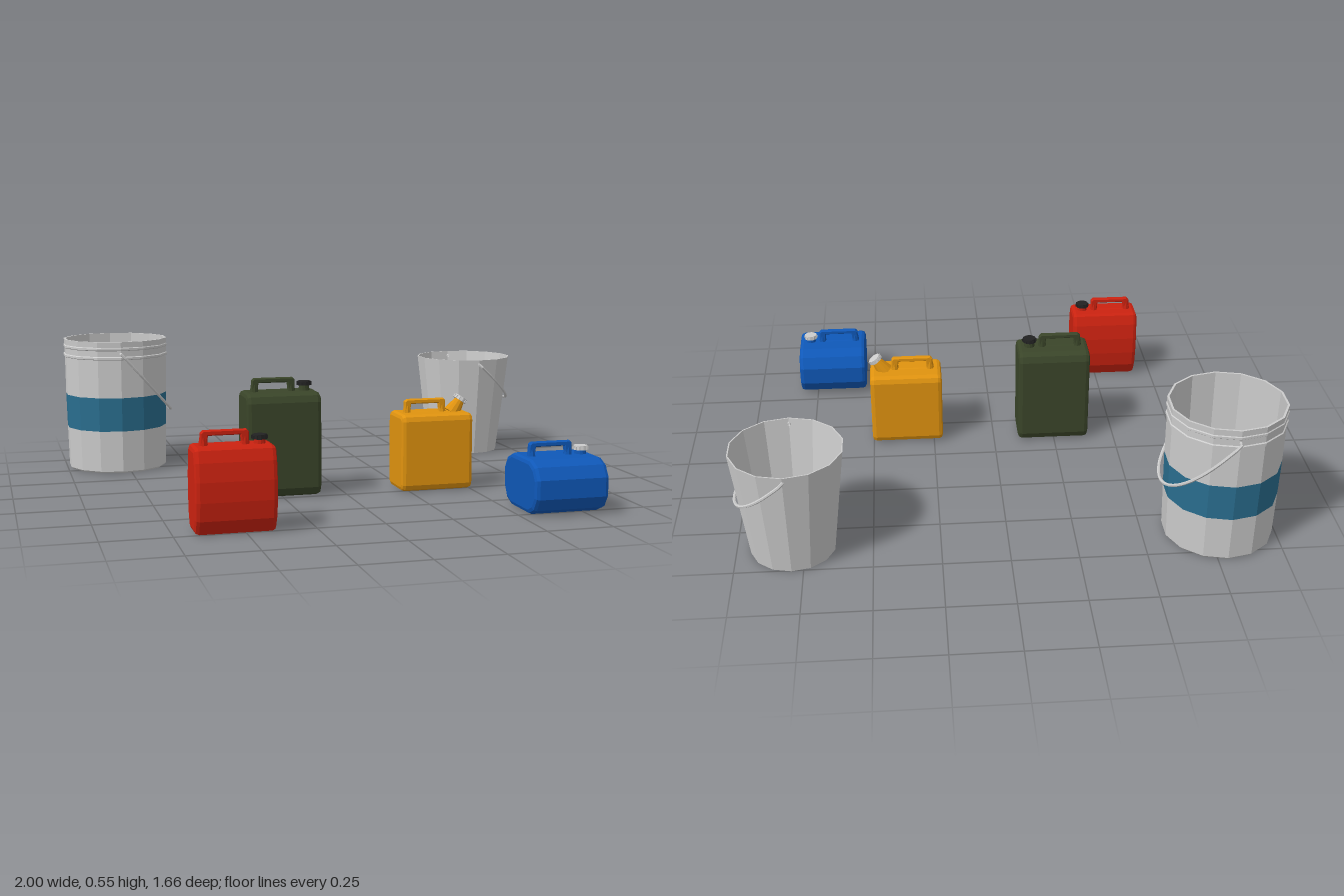
import * as THREE from 'three';

const SIDES = 14;
const mat = (color) => new THREE.MeshStandardMaterial({ color, flatShading: true, side: THREE.DoubleSide });
const GREY = mat(0xcccccc), BLACK = mat(0x222222), BAND = mat(0x2a6e8f);

function add(parent, name, geometry, material, x = 0, y = 0, z = 0) {
  const mesh = new THREE.Mesh(geometry, material);
  mesh.name = name;
  mesh.position.set(x, y, z);
  parent.add(mesh);
  return mesh;
}

const lathe = (pts) => new THREE.LatheGeometry(pts.map(([r, y]) => new THREE.Vector2(r, y)), SIDES);

// Wire bail: half ellipse leaning towards +x, its ends bent in to the wall
function bail(r, pivotY, reach, drop) {
  const pts = [new THREE.Vector3(0, pivotY, r - 0.022)];
  for (let i = 0; i <= 16; i++) {
    const a = (i / 16) * Math.PI;
    pts.push(new THREE.Vector3(reach * Math.sin(a), pivotY - drop * Math.sin(a), r * Math.cos(a)));
  }
  pts.push(new THREE.Vector3(0, pivotY, -r + 0.022));
  return new THREE.TubeGeometry(new THREE.CatmullRomCurve3(pts), 40, 0.006, 6);
}

function largeBucket() {
  const g = new THREE.Group();
  g.name = 'largeBucket';
  add(g, 'lowerWall', lathe([[0, 0.003], [0.2, 0.003], [0.206, 0.01], [0.21, 0.18]]), GREY);
  add(g, 'colourBand', lathe([[0.21, 0.18], [0.213, 0.32]]), BAND);
  // Upper wall with two ridges, rolled over the rim and down the inside
  add(g, 'upperWallAndLining', lathe([
    [0.213, 0.32], [0.214, 0.478], [0.219, 0.481], [0.219, 0.489], [0.215, 0.492],
    [0.215, 0.516], [0.219, 0.519], [0.219, 0.527], [0.216, 0.53], [0.217, 0.553],
    [0.209, 0.553], [0.199, 0.014], [0, 0.014],
  ]), GREY);
  add(g, 'bail', bail(0.23, 0.505, 0.23, 0.265), GREY);
  return g;
}

function smallBucket() {
  const g = new THREE.Group();
  g.name = 'smallBucket';
  add(g, 'wall', lathe([[0, 0.003], [0.157, 0.003], [0.208, 0.43], [0.203, 0.43], [0.153, 0.01], [0, 0.01]]), GREY);
  add(g, 'bail', bail(0.212, 0.41, 0.195, 0.175), GREY);
  return g;
}

// Can body: half profile [z, y] mirrored, swept along x with bevelled ends
function canBody(half, length) {
  const bevel = 0.016;
  const outline = [...half, ...half.map(([z, y]) => [-z, y]).reverse()];
  const geo = new THREE.ExtrudeGeometry(new THREE.Shape(outline.map((p) => new THREE.Vector2(...p))), {
    depth: length - 2 * bevel, bevelEnabled: true, bevelThickness: bevel,
    bevelSize: bevel, bevelOffset: -bevel, bevelSegments: 2,
  });
  return geo.translate(0, 0, bevel - length / 2).rotateY(Math.PI / 2);
}

// Carrying handle: a bracket with a grip opening, plus a wider foot at each end
function addHandle(g, x, y, material) {
  const shape = new THREE.Shape([[-0.085, -0.01], [0.085, -0.01], [0.085, 0.043], [0.077, 0.052],
    [-0.073, 0.052], [-0.083, 0.043]].map((p) => new THREE.Vector2(...p)));
  shape.holes.push(new THREE.Path([[-0.06, 0.003], [-0.056, 0.033], [0.056, 0.033], [0.06, 0.003]]
    .map((p) => new THREE.Vector2(...p))));
  const geo = new THREE.ExtrudeGeometry(shape, {
    depth: 0.012, bevelThickness: 0.006, bevelSize: 0.004, bevelOffset: -0.004, bevelSegments: 1,
  }).translate(0, 0, -0.006);
  add(g, 'handle', geo, material, x, y, 0);
  for (const s of [-1, 1]) {
    add(g, 'handleFoot', new THREE.CylinderGeometry(0.013, 0.017, 0.03, 8), material, x + s * 0.072, y + 0.012, 0);
  }
}

// Neck and ribbed screw cap
function spout(material, capMaterial, neckHeight, capRadius, baseRadius) {
  const g = new THREE.Group();
  g.name = 'spout';
  add(g, 'neck', new THREE.CylinderGeometry(0.02, baseRadius, neckHeight + 0.01, 12), material, 0, neckHeight / 2 - 0.005, 0);
  add(g, 'cap', new THREE.CylinderGeometry(capRadius * 0.93, capRadius, 0.016, 12), capMaterial, 0, neckHeight + 0.008, 0);
  for (let i = 0; i < 12; i++) {
    const a = (i / 12) * Math.PI * 2;
    add(g, 'capRib', new THREE.BoxGeometry(0.004, 0.012, 0.004), capMaterial,
      Math.sin(a) * capRadius, neckHeight + 0.007, Math.cos(a) * capRadius);
  }
  return g;
}

// Rounded-corner rectangular half profile
function boxProfile(w, h, c) {
  const k = c * 0.3;
  return [[w - c, 0.005], [w - k, 0.005 + k], [w, 0.005 + c], [w, h - c], [w - k, h - k], [w - c, h]];
}

const CANS = [
  { name: 'redCan', color: 0xcc2210, x: -0.536, z: 0.7, h: 0.303, length: 0.286, cap: BLACK, neck: 0.015,
    profile: [[0.052, 0.005], [0.077, 0.055], [0.086, 0.12], [0.086, 0.19], [0.077, 0.255], [0.062, 0.295], [0.052, 0.303]] },
  { name: 'greenCan', color: 0x3a4529, x: -0.245, z: 0.165, h: 0.405, length: 0.29, cap: BLACK, neck: 0.02,
    profile: boxProfile(0.091, 0.405, 0.035) },
  { name: 'orangeCan', color: 0xe0930f, x: 0.359, z: 0.195, h: 0.306, length: 0.292, cap: GREY, neck: 0.047, tilt: 0.6,
    profile: boxProfile(0.09, 0.306, 0.025) },
  { name: 'blueCan', color: 0x0f58b8, x: 0.678, z: 0.674, h: 0.203, length: 0.287, cap: GREY, neck: 0.015,
    profile: [[0.08, 0.005], [0.125, 0.025], [0.152, 0.07], [0.152, 0.14], [0.125, 0.183], [0.08, 0.203]] },
];

function can({ name, color, x, z, h, length, cap, neck, tilt = 0, profile }) {
  const g = new THREE.Group();
  g.name = name;
  g.position.set(x, 0, z);
  const material = mat(color);
  add(g, 'body', canBody(profile, length), material);
  addHandle(g, -0.028, h, material);
  const s = spout(material, cap, neck, 0.027, tilt ? 0.034 : 0.022);
  s.position.set(tilt ? 0.092 : 0.096, h, 0);
  s.rotation.z = -tilt;
  g.add(s);
  return g;
}

export function createModel() {
  const model = new THREE.Group();
  model.name = 'bucketsAndCans';
  const large = largeBucket();
  large.position.set(-0.787, 0, -0.597);
  const small = smallBucket();
  small.position.set(0.793, 0, -0.597);
  model.add(large, small, ...CANS.map(can));
  return model;
}
